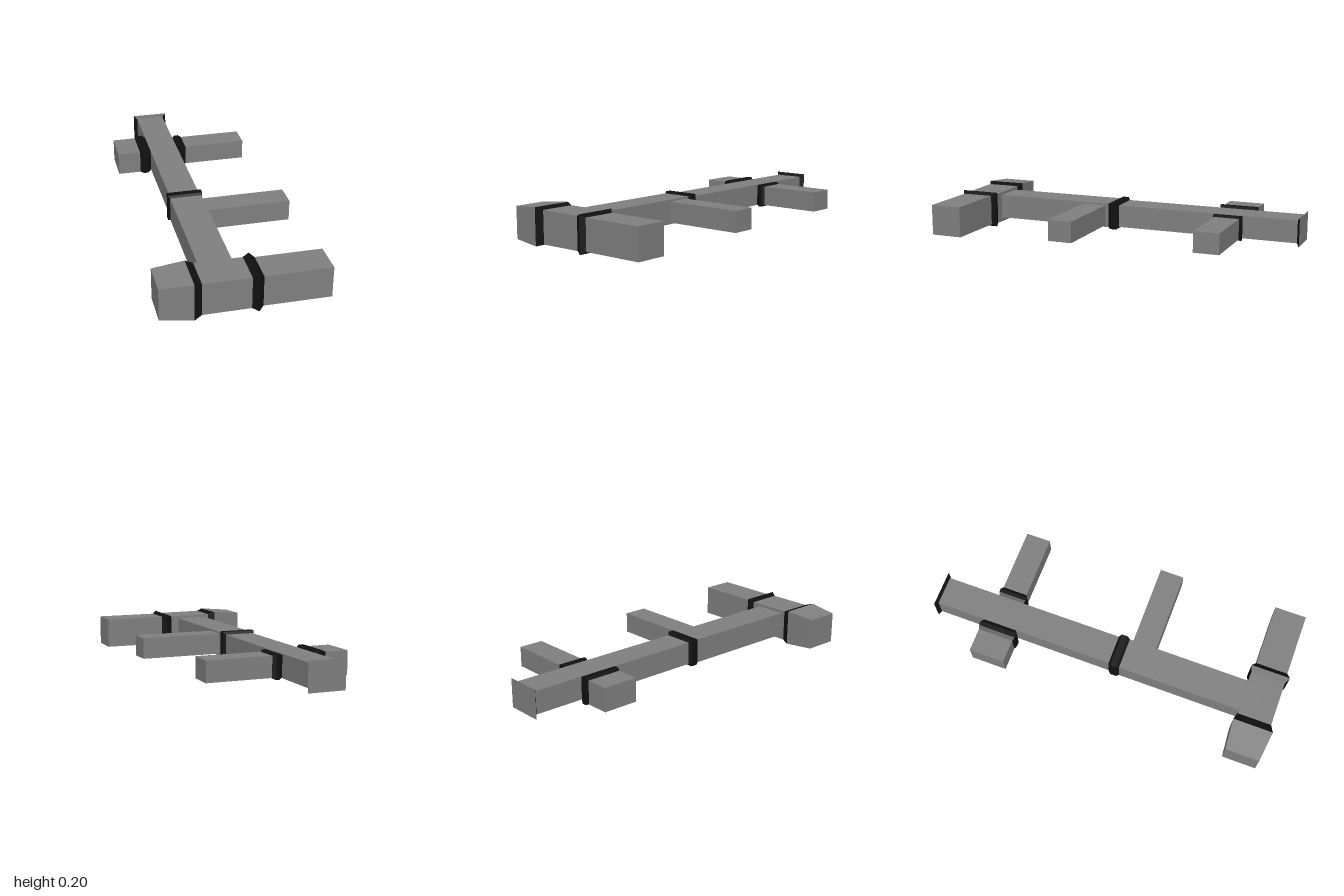
import * as THREE from 'three';

const duct = new THREE.MeshStandardMaterial({ color: 0x808080 });
duct.name = 'duct grey';
const seal = new THREE.MeshStandardMaterial({ color: 0x101010 });
seal.name = 'seal black';

// Lofts rectangular sections [position, side0, side1, bottom, top] along 'x' or 'z'.
// bands lists the indices of the segments that are black.
function run(name, axis, sections, bands = []) {
  const rings = sections.map(([p, u0, u1, y0, y1]) =>
    [[u0, y0], [u1, y0], [u1, y1], [u0, y1]].map(([u, y]) =>
      axis === 'z' ? [u, y, p] : [p, y, u]));
  const pos = [];
  const geo = new THREE.BufferGeometry();
  const quad = (a, b, c, d) => {
    const order = axis === 'z' ? [a, b, c, a, c, d] : [a, c, b, a, d, c];
    order.forEach((v) => pos.push(...v));
  };
  const group = (material, build) => {
    const start = pos.length / 3;
    build();
    geo.addGroup(start, pos.length / 3 - start, material);
  };
  for (let i = 0; i < rings.length - 1; i++) {
    const a = rings[i], b = rings[i + 1];
    group(bands.includes(i) ? 1 : 0, () => {
      for (let j = 0; j < 4; j++) {
        const k = (j + 1) % 4;
        quad(a[j], a[k], b[k], b[j]);
      }
    });
  }
  // End caps
  group(0, () => {
    quad(...rings[0].slice().reverse());
    quad(...rings[rings.length - 1]);
  });
  geo.setAttribute('position', new THREE.Float32BufferAttribute(pos, 3));
  geo.computeVertexNormals();
  const mesh = new THREE.Mesh(geo, [duct, seal]);
  mesh.name = name;
  return mesh;
}

export function createModel() {
  const model = new THREE.Group();
  model.name = 'ductwork';
  model.add(
    // Wide cross duct at the front, flared at its two joints
    run('frontDuct', 'x', [
      [-0.435, 0.79, 0.98, 0.015, 0.19],
      [-0.265, 0.778, 1.0, 0.002, 0.204],
      [-0.225, 0.79, 0.98, 0.014, 0.192],
      [0.025, 0.79, 0.98, 0.015, 0.19],
      [0.058, 0.778, 0.997, 0.002, 0.204],
      [0.083, 0.8, 0.977, 0.018, 0.188],
      [0.435, 0.8, 0.977, 0.018, 0.188],
    ], [1, 3, 4]),
    // Long spine with a middle joint and a flared end plate
    run('mainDuct', 'z', [
      [-1.0, -0.215, -0.01, 0.028, 0.187],
      [-0.985, -0.195, -0.032, 0.045, 0.17],
      [0.037, -0.195, -0.03, 0.045, 0.17],
      [0.05, -0.209, -0.016, 0.031, 0.184],
      [0.085, -0.209, -0.016, 0.031, 0.184],
      [0.1, -0.2, -0.025, 0.039, 0.175],
      [0.8, -0.2, -0.025, 0.039, 0.175],
    ], [0, 2, 3, 4]),
    // Plain side branch
    run('middleBranch', 'x', [
      [-0.05, 0.12, 0.255, 0.049, 0.165],
      [0.435, 0.12, 0.255, 0.049, 0.165],
    ]),
    // Rear branch with a collar
    run('rearBranch', 'x', [
      [-0.033, -0.68, -0.54, 0.05, 0.163],
      [-0.012, -0.69, -0.53, 0.04, 0.172],
      [0.008, -0.69, -0.53, 0.04, 0.172],
      [0.024, -0.68, -0.54, 0.05, 0.163],
      [0.382, -0.68, -0.54, 0.05, 0.163],
    ], [0, 1, 2]),
    // Short rear stub on the other side, with a collar
    run('rearStub', 'x', [
      [-0.39, -0.71, -0.51, 0.04, 0.17],
      [-0.26, -0.71, -0.51, 0.04, 0.17],
      [-0.24, -0.717, -0.503, 0.032, 0.18],
      [-0.215, -0.717, -0.503, 0.032, 0.18],
      [-0.195, -0.705, -0.515, 0.042, 0.168],
    ], [1, 2, 3]),
  );
  return model;
}
